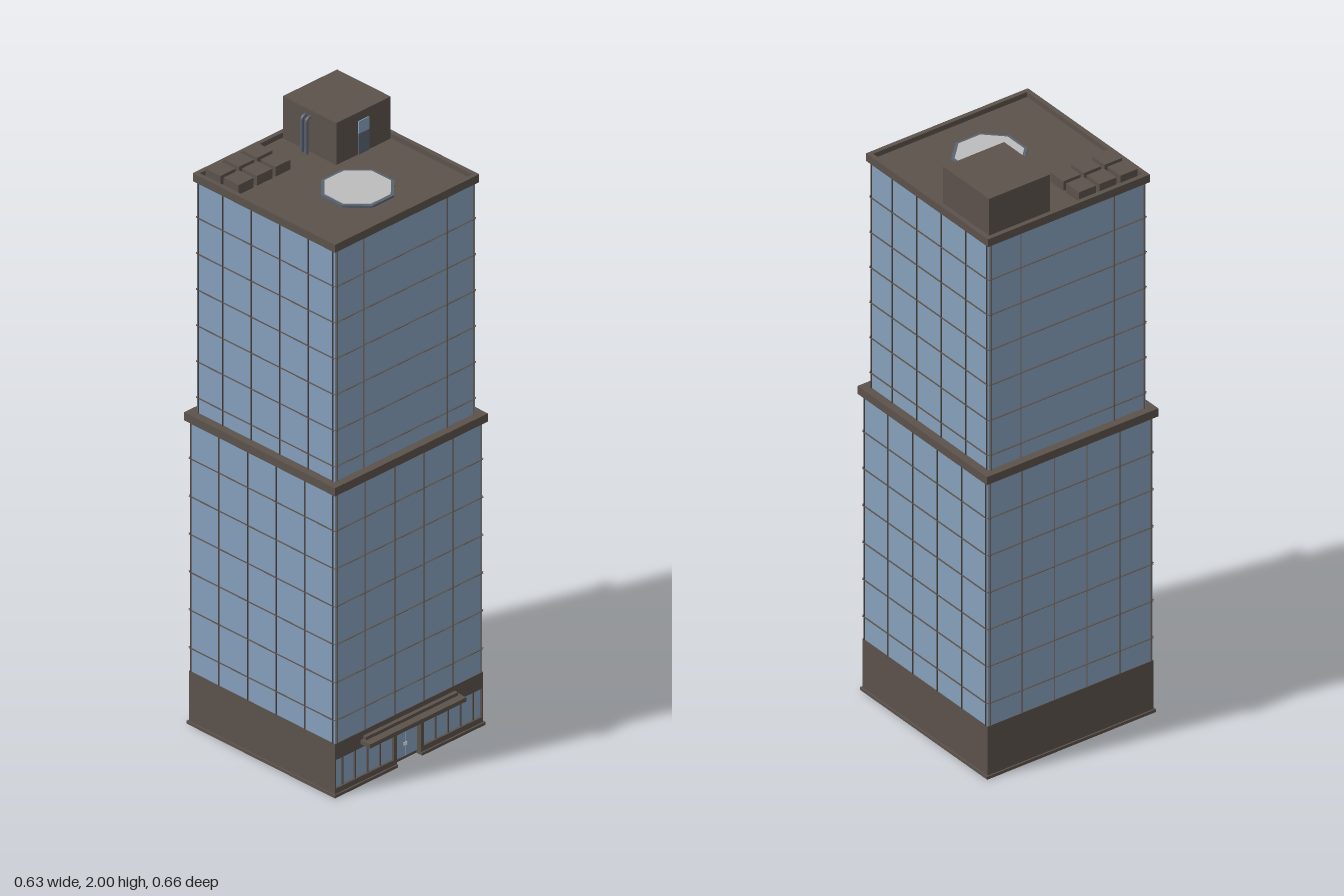
import * as THREE from 'three';

const mat = (name, color, extra = {}) => {
  const m = new THREE.MeshStandardMaterial({ color, ...extra });
  m.name = name;
  return m;
};

export function createModel() {
  const brown = mat('brown cladding', 0x5c524c);
  const glass = mat('blue glass', 0x85a0bc);
  const slate = mat('slate', 0x596270);
  const pale = mat('pale concrete', 0xbcbcbc);
  const model = new THREE.Group();
  model.name = 'officeTower';
  const tower = new THREE.Group();
  tower.name = 'tower';
  tower.position.z = -0.014; // the entrance canopy offsets the tower backwards
  model.add(tower);

  const add = (name, geo, m, parent = tower) => {
    const mesh = new THREE.Mesh(geo, m);
    mesh.name = name;
    parent.add(mesh);
    return mesh;
  };
  // Box given by its lower and upper limits on each axis
  const box = (name, m, x0, x1, y0, y1, z0, z1, parent = tower) => {
    const b = add(name, new THREE.BoxGeometry(x1 - x0, y1 - y0, z1 - z0), m, parent);
    b.position.set((x0 + x1) / 2, (y0 + y1) / 2, (z0 + z1) / 2);
    return b;
  };

  // Glazed storeys with very thin fins between the panes
  const FIN = 0.0012, DEPTH = 0.005;
  function storeys(name, half, y0, y1, firstRow, rowStep, frontCols, sideCols) {
    const g = new THREE.Group();
    g.name = name;
    tower.add(g);
    box('glassBody', glass, -half, half, y0, y1, -half, half, g);
    for (let k = 0; k < 6; k++) {
      const y = firstRow + k * rowStep, r = half + DEPTH;
      box('floorFin', brown, -half, half, y - FIN / 2, y + FIN / 2, -r, r, g);
      box('floorFin', brown, -r, r, y - FIN / 2, y + FIN / 2, -half, half, g);
    }
    const edge = half - 0.007, r = half + DEPTH;
    for (const c of [...frontCols, edge]) for (const s of [-1, 1])
      box('frontBackFin', brown, s * c - FIN / 2, s * c + FIN / 2, y0, y1, -r, r, g);
    for (const c of [...sideCols, edge]) for (const s of [-1, 1])
      box('sideFin', brown, -r, r, y0, y1, s * c - FIN / 2, s * c + FIN / 2, g);
  }
  storeys('lowerStoreys', 0.305, 0.18, 1.034, 0.26, 0.129, [0.06, 0.181], [0.06, 0.181]);
  storeys('upperStoreys', 0.29, 1.058, 1.85, 1.112, 0.1225, [0.1725], [0.06, 0.18]);
  box('middleLedge', brown, -0.317, 0.317, 1.032, 1.06, -0.317, 0.317);

  // Roof deck inside a low parapet
  box('roofDeck', brown, -0.299, 0.299, 1.847, 1.857, -0.299, 0.299);
  for (const s of [-1, 1]) {
    const a = s < 0 ? -0.299 : 0.284, b = s < 0 ? -0.284 : 0.299;
    box('parapet', brown, a, b, 1.857, 1.874, -0.299, 0.299);
    box('parapet', brown, -0.284, 0.284, 1.857, 1.874, a, b);
  }

  // Ground floor, open at the front for the glazing and the entrance
  const H = 0.307;
  box('groundFloor', brown, -H, H, 0.01, 0.18, -H, 0.285);
  box('plinth', brown, -0.312, 0.312, 0, 0.01, -0.312, 0.287);
  box('frontHeader', brown, -H, H, 0.125, 0.18, 0.285, H);
  for (const s of [-1, 1]) {
    const side = new THREE.Group();
    side.name = s < 0 ? 'rightShopfront' : 'leftShopfront';
    tower.add(side);
    const part = (name, m, a, b, y0, y1, z0, z1) =>
      box(name, m, Math.min(s * a, s * b), Math.max(s * a, s * b), y0, y1, z0, z1, side);
    part('frontPlinth', brown, 0.05, 0.312, 0, 0.01, 0.287, 0.312);
    part('sill', brown, 0.05, H, 0.01, 0.028, 0.285, H);
    part('doorJamb', brown, 0.05, 0.063, 0.028, 0.125, 0.285, H);
    part('cornerPost', brown, 0.3025, H, 0.028, 0.125, 0.285, H);
    part('window', glass, 0.063, 0.3025, 0.028, 0.125, 0.29, 0.299);
    for (let k = 1; k < 5; k++) {
      const x = 0.063 + k * 0.052;
      part('windowBar', brown, x - 0.002, x + 0.002, 0.028, 0.125, 0.299, 0.304);
    }
    part('entranceDoor', glass, 0.0008, 0.048, 0.012, 0.12, 0.285, 0.291);
    part('doorHandle', pale, 0.002, 0.006, 0.048, 0.06, 0.291, 0.294);
  }

  // Entrance canopy
  box('canopy', brown, -0.2, 0.2, 0.138, 0.152, H, 0.3455);
  box('canopyUpstand', brown, -0.19, 0.19, 0.152, 0.163, H, 0.32);

  // Landing pad: two stacked octagons
  const octagon = (name, m, apothem, y, h) => {
    const geo = new THREE.CylinderGeometry(1, 1, h, 8);
    geo.rotateY(Math.PI / 8);
    const r = apothem / Math.cos(Math.PI / 8);
    geo.scale(r, 1, r);
    const g = geo.toNonIndexed();
    g.computeVertexNormals();
    add(name, g, m).position.set(0, y + h / 2, 0.091);
  };
  octagon('landingPadBorder', slate, 0.108, 1.857, 0.007);
  octagon('landingPad', pale, 0.098, 1.864, 0.002);

  // Six roof units in two rows
  for (const x of [-0.241, -0.164, -0.088]) for (const z of [-0.2415, -0.165])
    box('roofUnit', brown, x - 0.0315, x + 0.0315, 1.857, 1.89, z - 0.0315, z + 0.0315);

  // Roof access house with its door
  box('accessHouse', brown, 0.057, 0.282, 1.857, 2, -0.2815, -0.0565);
  box('accessDoor', slate, 0.147, 0.191, 1.857, 1.928, -0.0565, -0.0535);
  box('accessDoorWindow', glass, 0.147, 0.191, 1.928, 1.97, -0.0565, -0.0535);

  // Pipes bending out of the access house down to the deck
  for (const z of [-0.185, -0.166]) {
    const path = new THREE.CurvePath();
    const v = (x, y) => new THREE.Vector3(x, y, z);
    path.add(new THREE.LineCurve3(v(0.06, 1.977), v(0.054, 1.977)));
    path.add(new THREE.QuadraticBezierCurve3(v(0.054, 1.977), v(0.041, 1.977), v(0.041, 1.962)));
    path.add(new THREE.LineCurve3(v(0.041, 1.962), v(0.041, 1.857)));
    add('roofPipe', new THREE.TubeGeometry(path, 40, 0.0055, 10), slate);
  }
  return model;
}
